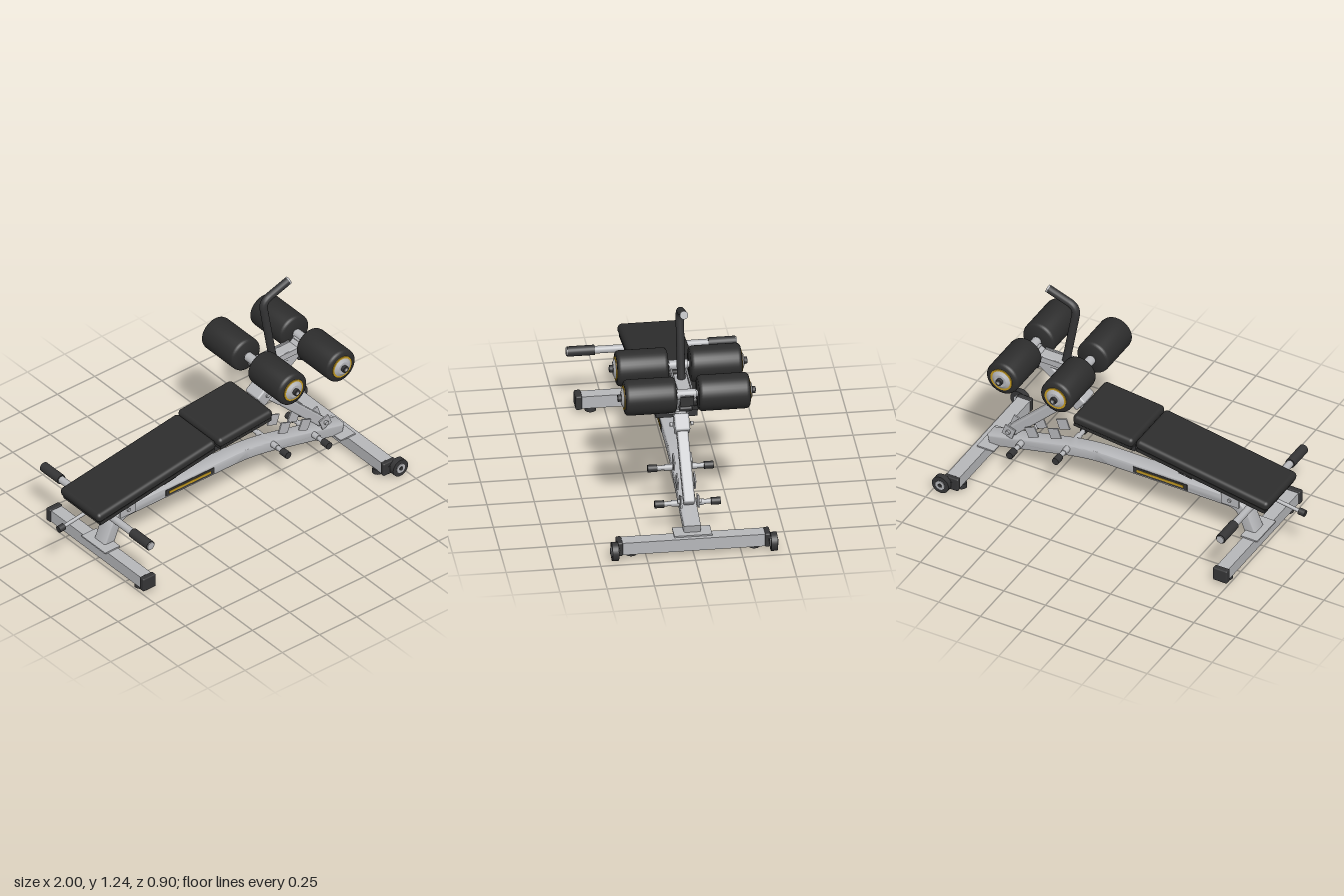
import * as THREE from 'three';
import { toCreasedNormals } from 'three/addons/utils/BufferGeometryUtils.js';
import { RoundedBoxGeometry } from 'three/addons/geometries/RoundedBoxGeometry.js';

const material = (name, color) => {
  const m = new THREE.MeshStandardMaterial({ color });
  m.name = name;
  return m;
};

export function createModel() {
  const root = new THREE.Group();
  root.name = 'adjustableBench';
  const silver = material('silver paint', 0xb6b7ba);
  const black = material('black vinyl', 0x2d2d2d);
  const rubber = material('dark rubber', 0x353536);
  const gold = material('gold trim', 0xc39a22);

  const add = (name, geometry, mat, x = 0, y = 0, z = 0, tilt = 0) => {
    const mesh = new THREE.Mesh(geometry, mat);
    mesh.name = name;
    mesh.position.set(x, y, z);
    mesh.rotation.z = tilt;
    root.add(mesh);
    return mesh;
  };
  const box = (name, w, h, d, mat, x, y, z = 0, tilt = 0) =>
    add(name, new THREE.BoxGeometry(w, h, d), mat, x, y, z, tilt);
  const soft = (name, w, h, d, r, mat, x, y, z = 0, tilt = 0) =>
    add(name, new RoundedBoxGeometry(w, h, d, 4, r), mat, x, y, z, tilt);
  // Rounded square tube between two points of the xy plane
  const bar = (name, a, b, h, d, mat) => {
    const dx = b[0] - a[0], dy = b[1] - a[1];
    return soft(name, Math.hypot(dx, dy), h, d, 0.01, mat,
      (a[0] + b[0]) / 2, (a[1] + b[1]) / 2, 0, Math.atan2(dy, dx));
  };
  // Cylinder lying along z
  const rod = (name, r, length, mat, x, y, z = 0, sides = 24) =>
    add(name, new THREE.CylinderGeometry(r, r, length, sides).rotateX(Math.PI / 2), mat, x, y, z);

  // Curved main spine: a centre line thickened sideways, extruded across z
  const line = new THREE.CurvePath();
  const v = (x, y) => new THREE.Vector3(x, y, 0);
  line.add(new THREE.LineCurve3(v(-0.688, 0.1), v(-0.655, 0.18)));
  line.add(new THREE.QuadraticBezierCurve3(v(-0.655, 0.18), v(-0.625, 0.252), v(-0.55, 0.252)));
  line.add(new THREE.LineCurve3(v(-0.55, 0.252), v(0.14, 0.252)));
  line.add(new THREE.QuadraticBezierCurve3(v(0.14, 0.252), v(0.29, 0.252), v(0.45, 0.213)));
  line.add(new THREE.LineCurve3(v(0.45, 0.213), v(0.87, 0.115)));
  const upper = [], lower = [];
  for (const curve of line.curves) {
    const n = curve.isLineCurve3 ? 1 : 10;
    for (let i = curve === line.curves[0] ? 0 : 1; i <= n; i++) {
      const p = curve.getPoint(i / n), t = curve.getTangent(i / n);
      upper.push(new THREE.Vector2(p.x - t.y * 0.022, p.y + t.x * 0.022));
      lower.unshift(new THREE.Vector2(p.x + t.y * 0.022, p.y - t.x * 0.022));
    }
  }
  const spine = new THREE.ExtrudeGeometry(new THREE.Shape([...upper, ...lower]),
    { depth: 0.066, bevelThickness: 0.012, bevelSize: 0.012, bevelSegments: 4 });
  add('mainSpine', toCreasedNormals(spine.translate(0, 0, -0.033), 0.6), silver);

  // Cross feet with caps, rubber pads and wheels
  box('rearCrossFoot', 0.07, 0.07, 0.76, silver, -0.712, 0.062);
  box('frontCrossFoot', 0.075, 0.07, 0.76, silver, 0.902, 0.06);
  box('rearFootPlate', 0.1, 0.008, 0.2, silver, -0.715, 0.101);
  box('frontFootPlate', 0.1, 0.008, 0.2, silver, 0.865, 0.099);
  for (const s of [1, -1]) {
    soft('rearEndCap', 0.085, 0.08, 0.035, 0.008, rubber, -0.712, 0.063, s * 0.39);
    soft('frontEndCap', 0.085, 0.078, 0.03, 0.008, rubber, 0.902, 0.06, s * 0.39);
    for (const x of [-0.712, 0.882])
      add('rubberPad', new THREE.CylinderGeometry(0.027, 0.03, 0.028, 20), rubber, x, 0.014, s * 0.325);
    rod('wheel', 0.05, 0.034, rubber, 0.948, 0.055, s * 0.419, 32);
    rod('wheelHub', 0.027, 0.042, silver, 0.948, 0.055, s * 0.419);
    rod('wheelBolt', 0.012, 0.05, rubber, 0.948, 0.055, s * 0.419, 6);
    box('wheelFork', 0.07, 0.03, 0.012, rubber, 0.925, 0.058, s * 0.402);
  }

  // Side badges on the spine
  for (const s of [1, -1]) {
    box('badge', 0.325, 0.038, 0.004, rubber, -0.153, 0.252, s * 0.046);
    box('badgeStripe', 0.28, 0.015, 0.004, gold, -0.153, 0.252, s * 0.048);
  }

  // Back pad, seat pad and the boards below them
  const backTilt = 0.158, seatTilt = 0.095;
  soft('backPad', 0.805, 0.056, 0.328, 0.024, black, -0.463, 0.459, 0, backTilt);
  box('backBoard', 0.78, 0.022, 0.31, black, -0.456, 0.424, 0, backTilt);
  soft('seatPad', 0.365, 0.056, 0.358, 0.024, black, 0.122, 0.541, 0, seatTilt);
  box('seatBoard', 0.345, 0.022, 0.335, black, 0.126, 0.508, 0, seatTilt);
  bar('backRail', [-0.8, 0.345], [-0.06, 0.463], 0.035, 0.06, silver);
  bar('seatRail', [-0.06, 0.472], [0.34, 0.51], 0.035, 0.06, silver);
  const brackets = [[-0.69, 0.355, 0.07, backTilt], [-0.34, 0.402, 0.08, backTilt],
    [0.005, 0.457, 0.09, seatTilt], [0.218, 0.475, 0.085, seatTilt]];
  for (const [x, y, w, tilt] of brackets) {
    box('padBracket', w, 0.045, 0.22, rubber, x, y, 0, tilt);
    for (const s of [1, -1]) rod('bracketBolt', 0.014, 0.008, silver, x, y, s * 0.113, 6);
  }

  // Hinge plates holding the back pad on the spine
  for (const s of [1, -1]) {
    box('hingePlate', 0.105, 0.15, 0.01, silver, -0.576, 0.315, s * 0.052);
    for (const y of [0.275, 0.355]) rod('hingeBolt', 0.01, 0.012, silver, -0.575, y, s * 0.06, 6);
  }

  // Side handles under the head end
  rod('handleBar', 0.02, 0.88, silver, -0.738, 0.34);
  for (const s of [1, -1]) {
    rod('handleGrip', 0.027, 0.145, rubber, -0.738, 0.34, s * 0.372);
    rod('gripEnd', 0.022, 0.008, silver, -0.738, 0.34, s * 0.446);
  }

  // Pull pin
  bar('pullPin', [-0.97, 0.312], [-0.78, 0.34], 0.02, 0.02, silver);
  add('pullKnob', new THREE.CylinderGeometry(0.019, 0.019, 0.037, 20).rotateZ(Math.PI / 2),
    rubber, -0.98, 0.311, 0, 0.12);

  // Pegs through the spine
  for (const [x, y] of [[0.405, 0.238], [0.68, 0.172]]) {
    rod('pegRod', 0.013, 0.3, silver, x, y);
    for (const s of [1, -1]) {
      rod('pegCollar', 0.017, 0.05, silver, x, y, s * 0.06);
      rod('pegCap', 0.02, 0.05, rubber, x, y, s * 0.149);
    }
  }

  // Leg arm, sleeve and support post
  bar('legArm', [0.3, 0.535], [0.62, 0.775], 0.062, 0.07, silver);
  bar('armSleeve', [0.32, 0.55], [0.405, 0.614], 0.085, 0.11, silver);
  bar('armEndCap', [0.59, 0.705], [0.625, 0.69], 0.03, 0.07, rubber);
  bar('supportPost', [0.37, 0.585], [0.755, 0.205], 0.056, 0.06, silver);
  bar('postSleeve', [0.415, 0.55], [0.485, 0.485], 0.075, 0.08, silver);
  for (const s of [1, -1]) {
    const plates = [[0.48, 0.31, -0.35], [0.617, 0.267, -0.42], [0.755, 0.22, 0.35]];
    for (const [x, y, tilt] of plates)
      box('ladderPlate', 0.064, 0.064, 0.008, silver, x, y, s * 0.046, tilt);
    for (const [x, y] of [[0.362, 0.582], [0.45, 0.517], [0.755, 0.22]])
      rod('pivotBolt', 0.013, 0.015, silver, x, y, s * 0.055, 6);
  }

  // Roller carrier
  bar('carrierTube', [0.38, 0.752], [0.62, 0.752], 0.06, 0.07, silver);
  for (const s of [1, -1]) {
    box('carrierPlate', 0.27, 0.035, 0.008, silver, 0.445, 0.767, s * 0.04);
  }
  box('carrierCap', 0.012, 0.055, 0.07, rubber, 0.672, 0.77);
  box('carrierHead', 0.07, 0.05, 0.07, silver, 0.635, 0.775);

  // Foam rollers with trimmed hubs
  const foam = [[0.001, 0], [0.082, 0], [0.092, 0.008], [0.095, 0.02],
    [0.095, 0.25], [0.092, 0.262], [0.082, 0.27], [0.001, 0.27]];
  const foamShape = toCreasedNormals(new THREE.LatheGeometry(
    foam.map(([r, h]) => new THREE.Vector2(r, h - 0.135)), 40).rotateX(Math.PI / 2), 0.8);
  for (const x of [0.315, 0.64]) {
    const y = 0.797;
    rod('rollerAxle', 0.018, 0.68, silver, x, y);
    rod('axleCollar', 0.026, 0.1, silver, x, y);
    for (const s of [1, -1]) {
      add('foamRoller', foamShape, black, x, y, s * 0.194);
      rod('hubRing', 0.064, 0.008, gold, x, y, s * 0.33, 36);
      const hub = new THREE.CylinderGeometry(0.035, 0.055, 0.012, 32).rotateX(s * Math.PI / 2);
      add('hubDisc', hub, silver, x, y, s * 0.339);
      rod('axleCap', 0.019, 0.026, rubber, x, y, s * 0.35, 12);
      rod('axleTip', 0.01, 0.004, silver, x, y, s * 0.364, 6);
    }
  }

  // Bent hand lever
  const lever = new THREE.CurvePath();
  lever.add(new THREE.LineCurve3(v(0.44, 0.76), v(0.38, 1.1)));
  lever.add(new THREE.QuadraticBezierCurve3(v(0.38, 1.1), v(0.37, 1.155), v(0.425, 1.172)));
  lever.add(new THREE.LineCurve3(v(0.425, 1.172), v(0.54, 1.212)));
  add('handLever', new THREE.TubeGeometry(lever, 50, 0.022, 16), rubber);
  add('leverTip', new THREE.CylinderGeometry(0.022, 0.022, 0.012, 16), silver,
    0.543, 1.213, 0, -Math.PI / 2 + 0.335);

  return root;
}
